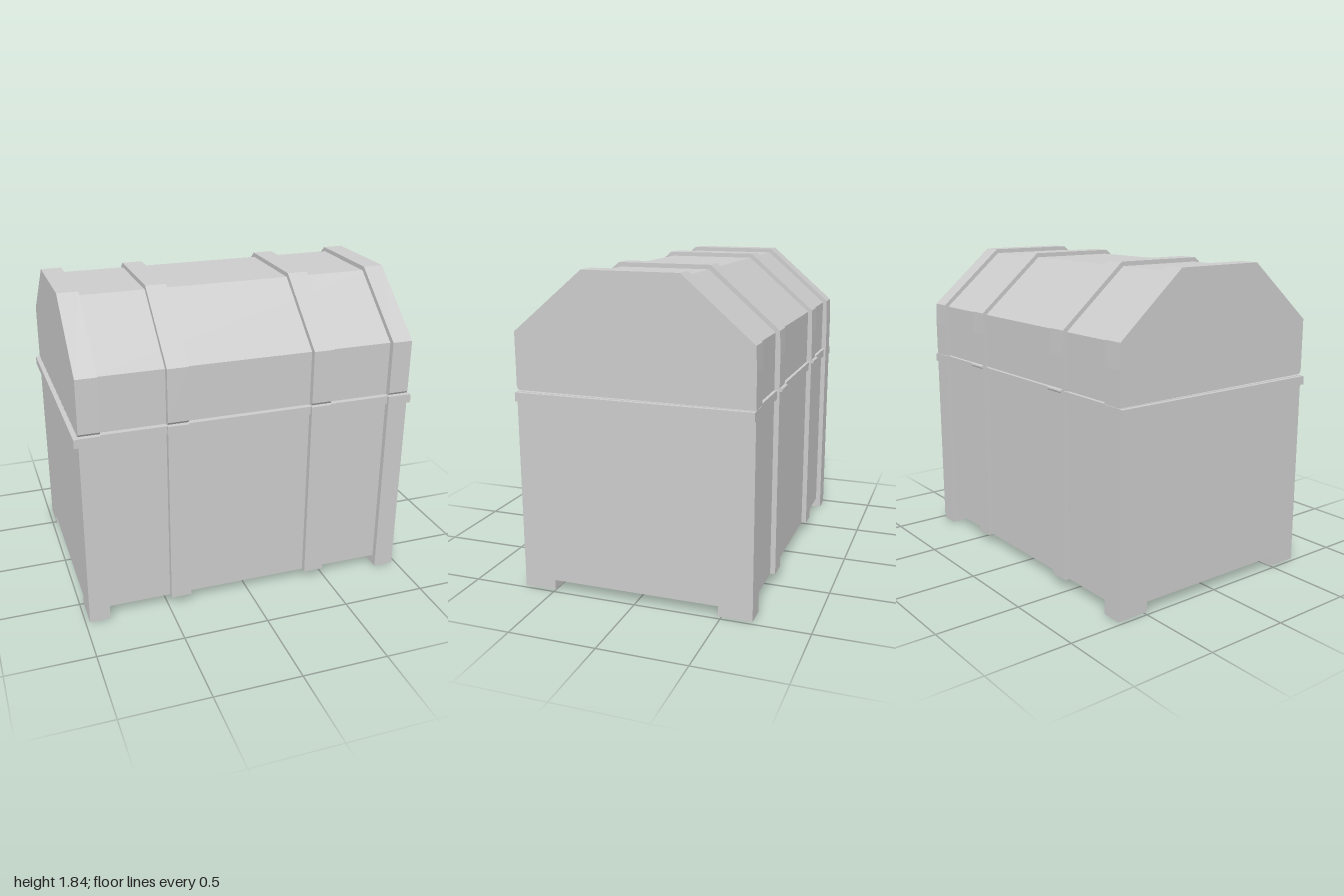
import * as THREE from 'three';

const material = new THREE.MeshStandardMaterial({ color: 0xcccccc, flatShading: true });

// Strap positions along x: two end frames and two middle straps
const STRAPS = [
  { name: 'leftEnd', x: 0.915 }, { name: 'leftMiddle', x: 0.425 },
  { name: 'rightMiddle', x: -0.425 }, { name: 'rightEnd', x: -0.915 },
];
const STRAP_WIDTH = 0.12;

function add(parent, name, geometry, x = 0, y = 0, z = 0) {
  const mesh = new THREE.Mesh(geometry, material);
  mesh.name = name;
  mesh.position.set(x, y, z);
  parent.add(mesh);
  return mesh;
}

// Box given by its limits
function block(parent, name, [x0, x1], [y0, y1], [z0, z1]) {
  return add(parent, name, new THREE.BoxGeometry(x1 - x0, y1 - y0, z1 - z0),
    (x0 + x1) / 2, (y0 + y1) / 2, (z0 + z1) / 2);
}

// Side profile of [z, y] points, extruded along x and centred on x
function profile(parent, name, points, width, x) {
  const shape = new THREE.Shape(points.map(([z, y]) => new THREE.Vector2(-z, y)));
  const geometry = new THREE.ExtrudeGeometry(shape, { depth: width, bevelEnabled: false });
  geometry.translate(0, 0, -width / 2).rotateY(Math.PI / 2);
  return add(parent, name, geometry, x);
}

export function createModel() {
  const chest = new THREE.Group();
  chest.name = 'chest';

  const base = new THREE.Group();
  base.name = 'base';
  const lid = new THREE.Group();
  lid.name = 'lid';
  chest.add(base, lid);

  // Recessed panels between the straps
  block(base, 'basePanels', [-0.9, 0.9], [0.06, 1.16], [-0.645, 0.655]);
  profile(lid, 'lidPanels', [
    [0.655, 1.168], [0.655, 1.485], [0.265, 1.815], [-0.26, 1.815], [-0.645, 1.485], [-0.645, 1.163],
  ], 1.8, 0);

  // Rim round the top of the base, standing out at both ends
  block(base, 'rim', [-0.9, 0.9], [1.11, 1.16], [-0.66, 0.672]);
  for (const side of [-1, 1]) {
    const x = [0.97 * side, side].sort((a, b) => a - b);
    block(base, side > 0 ? 'leftEndRim' : 'rightEndRim', x, [1.11, 1.16], [-0.675, 0.69]);
  }

  for (const { name, x } of STRAPS) {
    const isEnd = name.endsWith('End');
    // End straps are cut away underneath to leave feet
    const underside = isEnd
      ? [[-0.675, 0], [-0.48, 0], [-0.48, 0.06], [0.5, 0.06], [0.5, 0], [0.69, 0]]
      : [[-0.675, 0.06], [0.69, 0.06]];
    profile(base, name + 'BaseStrap',
      [...underside, [0.69, 1.162], [-0.675, 1.162]], STRAP_WIDTH, x);

    // Lid straps have a small chamfer at the front opening edge
    profile(lid, name + 'LidStrap', [
      [0.677, 1.17], [0.69, 1.185], [0.69, 1.495], [0.28, 1.84],
      [-0.27, 1.84], [-0.67, 1.495], [-0.675, 1.36], [-0.675, 1.164],
    ], STRAP_WIDTH, x);

    // Hinge pins behind the middle straps
    if (!isEnd) {
      const pin = new THREE.CylinderGeometry(0.012, 0.012, 0.126, 10);
      add(chest, name + 'Hinge', pin.rotateZ(Math.PI / 2), x, 1.165, -0.681);
    }
  }

  return chest;
}
